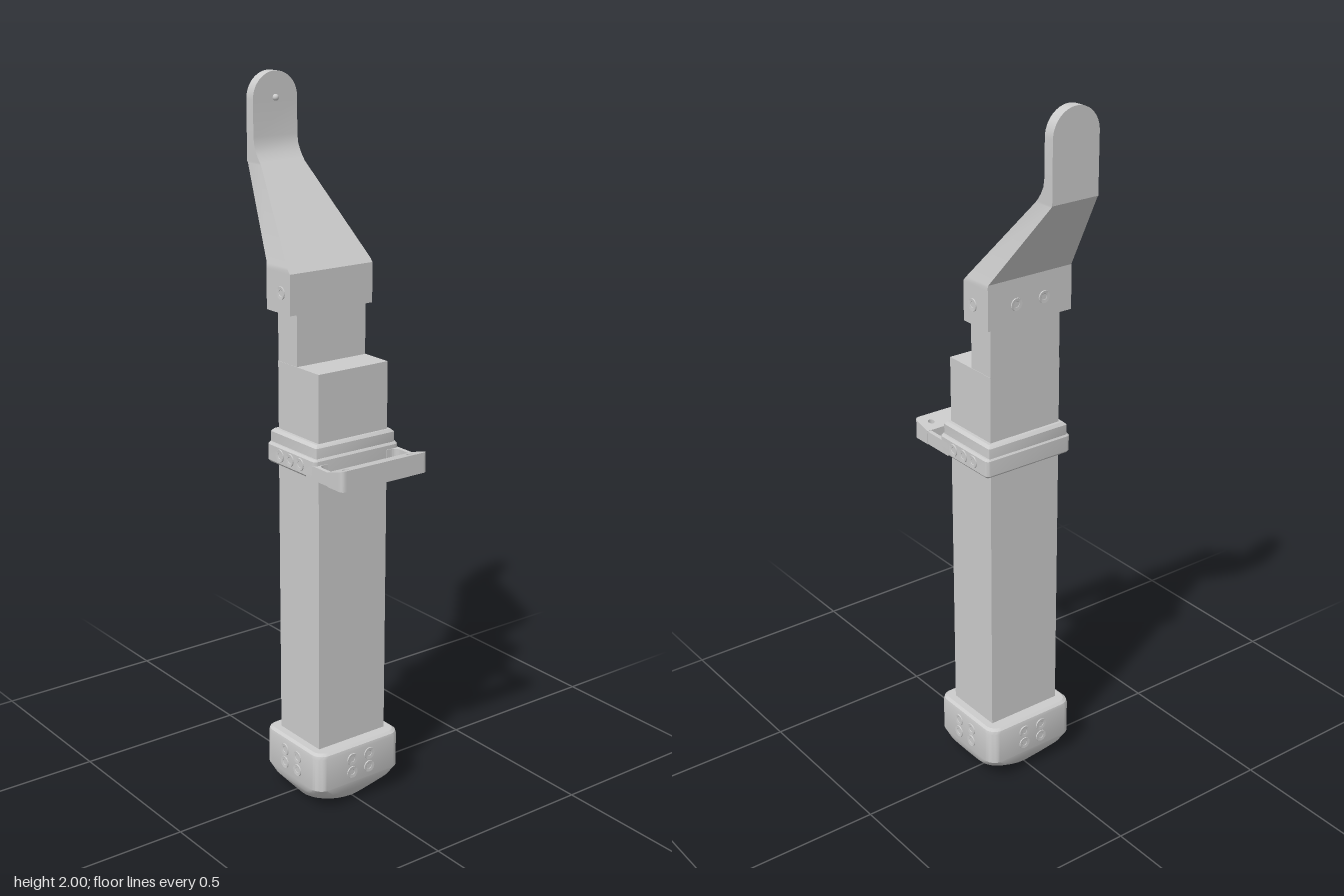
import * as THREE from 'three';
import { toCreasedNormals } from 'three/addons/utils/BufferGeometryUtils.js';

const mat = new THREE.MeshStandardMaterial({ color: 0xcccccc });

// Lofts rounded-rectangle rings { y, w, f, b, rx, rz }: half width, front z, back z, corner radii
function loft(rings, seg) {
  const pos = [], idx = [], n = 4 * (seg + 1);
  for (const { y, w, f, b, rx = 0, rz = rx } of rings) {
    const d = (f - b) / 2, c = (f + b) / 2;
    for (let q = 0; q < 4; q++) {
      const sx = q === 0 || q === 3 ? 1 : -1, sz = q < 2 ? 1 : -1;
      for (let i = 0; i <= seg; i++) {
        const a = (q + (seg ? i / seg : 0.5)) * Math.PI / 2;
        pos.push(sx * (w - rx) + rx * Math.cos(a), y, c + sz * (d - rz) + rz * Math.sin(a));
      }
    }
  }
  for (let r = 0; r < rings.length - 1; r++)
    for (let j = 0; j < n; j++) {
      const a = r * n + j, b = r * n + (j + 1) % n;
      idx.push(a, a + n, b, b, a + n, b + n);
    }
  const top = (rings.length - 1) * n;
  for (let j = 1; j < n - 1; j++) idx.push(0, j, j + 1, top, top + j + 1, top + j);
  const g = new THREE.BufferGeometry();
  g.setAttribute('position', new THREE.Float32BufferAttribute(pos, 3));
  g.setIndex(idx);
  return toCreasedNormals(g, 0.45);
}

// Piecewise linear value along [y, value] pairs
function along(pts, y) {
  for (let i = 1; i < pts.length; i++)
    if (y <= pts[i][0]) {
      const [y0, v0] = pts[i - 1], [y1, v1] = pts[i];
      return v0 + (v1 - v0) * (y - y0) / (y1 - y0);
    }
  return pts[pts.length - 1][1];
}

export function createModel() {
  const model = new THREE.Group();
  const add = (name, geo, x = 0, y = 0, z = 0, parent = model) => {
    const m = new THREE.Mesh(geo, mat);
    m.name = name;
    m.position.set(x, y, z);
    parent.add(m);
    return m;
  };
  const box = (name, w, y0, y1, f, b) =>
    add(name, new THREE.BoxGeometry(2 * w, y1 - y0, f - b), 0, (y0 + y1) / 2, (f + b) / 2);

  // Dished screw head, facing out along the given yaw
  const screwGeo = toCreasedNormals(new THREE.LatheGeometry(
    [[0, 0.0005], [0.008, 0.0005], [0.009, 0.0015], [0.014, 0.003], [0.017, 0.003], [0.018, -0.002]]
      .reverse().map(p => new THREE.Vector2(...p)), 20), 0.4);
  screwGeo.rotateX(Math.PI / 2);
  const screw = (x, y, z, yaw) => { add('screw', screwGeo, x, y, z).rotation.y = yaw; };
  const SIDE = Math.PI / 2;

  // Square post, with its upper front cut back
  box('post', 0.115, 0.1, 1.26, 0.12, -0.06);
  box('upperPost', 0.114, 1.26, 1.45, 0.024, -0.06);

  // Foot cap: rounded square blending to a recessed round base
  const foot = (y, w, rx = 0.035, rz = rx, d = w - 0.015) => ({ y, w, f: 0.03 + d, b: 0.03 - d, rx, rz });
  const round = (y, w, d) => foot(y, w, w, d, d);
  add('footCap', loft([
    round(0.012, 0.088, 0.078), round(0, 0.09, 0.08), round(0, 0.105, 0.09),
    foot(0.022, 0.123, 0.085, 0.08), foot(0.045, 0.14, 0.06, 0.06), foot(0.068, 0.146),
    foot(0.165, 0.146), foot(0.174, 0.144), foot(0.18, 0.136, 0.03)], 8));
  for (let i = 0; i < 10; i++) {
    const a = i / 10 * Math.PI * 2;
    add('basePin', new THREE.CylinderGeometry(0.005, 0.005, 0.006, 10),
      0.075 * Math.cos(a), 0.01, 0.03 + 0.066 * Math.sin(a));
  }
  for (const s of [-1, 1])
    for (const y of [0.1, 0.14]) {
      screw(0.03 * s, y, 0.161, 0);
      screw(0.03 * s, y, -0.101, Math.PI);
      for (const side of [-1, 1]) screw(0.146 * side, y, 0.03 + 0.03 * s, SIDE * side);
    }

  // Collar: lower band and stepped upper band
  const ring = (y, w, f, b, rx) => ({ y, w, f, b, rx });
  add('collarBand', loft([
    ring(0.98, 0.137, 0.133, -0.075, 0.008), ring(0.986, 0.142, 0.138, -0.08, 0.012),
    ring(1.03, 0.142, 0.138, -0.08, 0.012), ring(1.036, 0.137, 0.133, -0.075, 0.008)], 4));
  add('collarLip', loft([
    ring(1.03, 0.132, 0.132, -0.076, 0.004), ring(1.064, 0.132, 0.132, -0.076, 0.004),
    ring(1.072, 0.124, 0.125, -0.068, 0.003)], 2));
  for (const s of [-1, 1])
    for (const z of [0.073, 0.028, -0.017]) screw(0.142 * s, 1.009, z, SIDE * s);

  // Bracket arms, with a filleted inner corner
  const arm = new THREE.Shape();
  arm.moveTo(0.1, 0.1).lineTo(0.142, 0.1).lineTo(0.142, 0.2).lineTo(0.13, 0.2).lineTo(0.13, 0.16);
  arm.quadraticCurveTo(0.13, 0.14, 0.112, 0.14).lineTo(0.1, 0.14);
  const armGeo = new THREE.ExtrudeGeometry(arm, { depth: 0.038, bevelEnabled: false, curveSegments: 6 });
  armGeo.rotateX(Math.PI / 2);
  for (const s of [-1, 1]) add(s > 0 ? 'leftArm' : 'rightArm', armGeo, 0, 1.019, 0).scale.x = s;

  // Bracket plate with two holes and a top that slopes down to the back
  const plate = new THREE.Shape();
  plate.moveTo(-0.143, 0.195).lineTo(0.143, 0.195).lineTo(0.143, 0.243);
  plate.quadraticCurveTo(0.143, 0.258, 0.128, 0.258).lineTo(-0.128, 0.258);
  plate.quadraticCurveTo(-0.143, 0.258, -0.143, 0.243);
  for (const s of [-1, 1])
    plate.holes.push(new THREE.Path().absarc(0.108 * s, 0.226, 0.009, 0, Math.PI * 2, true));
  const plateGeo = new THREE.ExtrudeGeometry(plate, { depth: 0.04, bevelEnabled: false, curveSegments: 10 });
  plateGeo.rotateX(Math.PI / 2);
  const p = plateGeo.attributes.position;
  for (let i = 0; i < p.count; i++)
    if (p.getY(i) > -0.01) p.setY(i, (p.getZ(i) - 0.195) * 0.27);
  plateGeo.computeVertexNormals();
  add('bracketPlate', plateGeo, 0, 1.02, 0);

  // Head: collar block, slanted tapering neck and round-topped tab
  const front = [[1.4, 0.025], [1.51, 0.025], [1.77, -0.2], [1.785, -0.211], [1.805, -0.221], [1.83, -0.225]];
  const back = [[1.4, -0.08], [1.525, -0.08], [1.765, -0.256]];
  const width = [[1.4, 0.136], [1.52, 0.136], [1.76, 0.072]];
  const levels = [1.4, 1.51, 1.52, 1.525, 1.76, 1.765, 1.77, 1.785, 1.805, 1.83, 1.928];
  for (let i = 1; i <= 12; i++) levels.push(1.928 + 0.072 * Math.sin(i / 12 * Math.PI / 2));
  const head = levels.map(y => {
    const t = Math.max(0, y - 1.928) / 0.072;
    return { y, w: along(width, y) * Math.sqrt(Math.max(0, 1 - t * t)), f: along(front, y), b: along(back, y) };
  });
  add('head', loft(head, 0));
  for (const s of [-1, 1]) {
    screw(0.136 * s, 1.455, -0.015, SIDE * s);
    screw(0.045 * s, 1.455, -0.08, Math.PI);
  }
  add('tabPin', new THREE.SphereGeometry(0.009, 14, 10), 0, 1.93, -0.223);

  return model;
}
